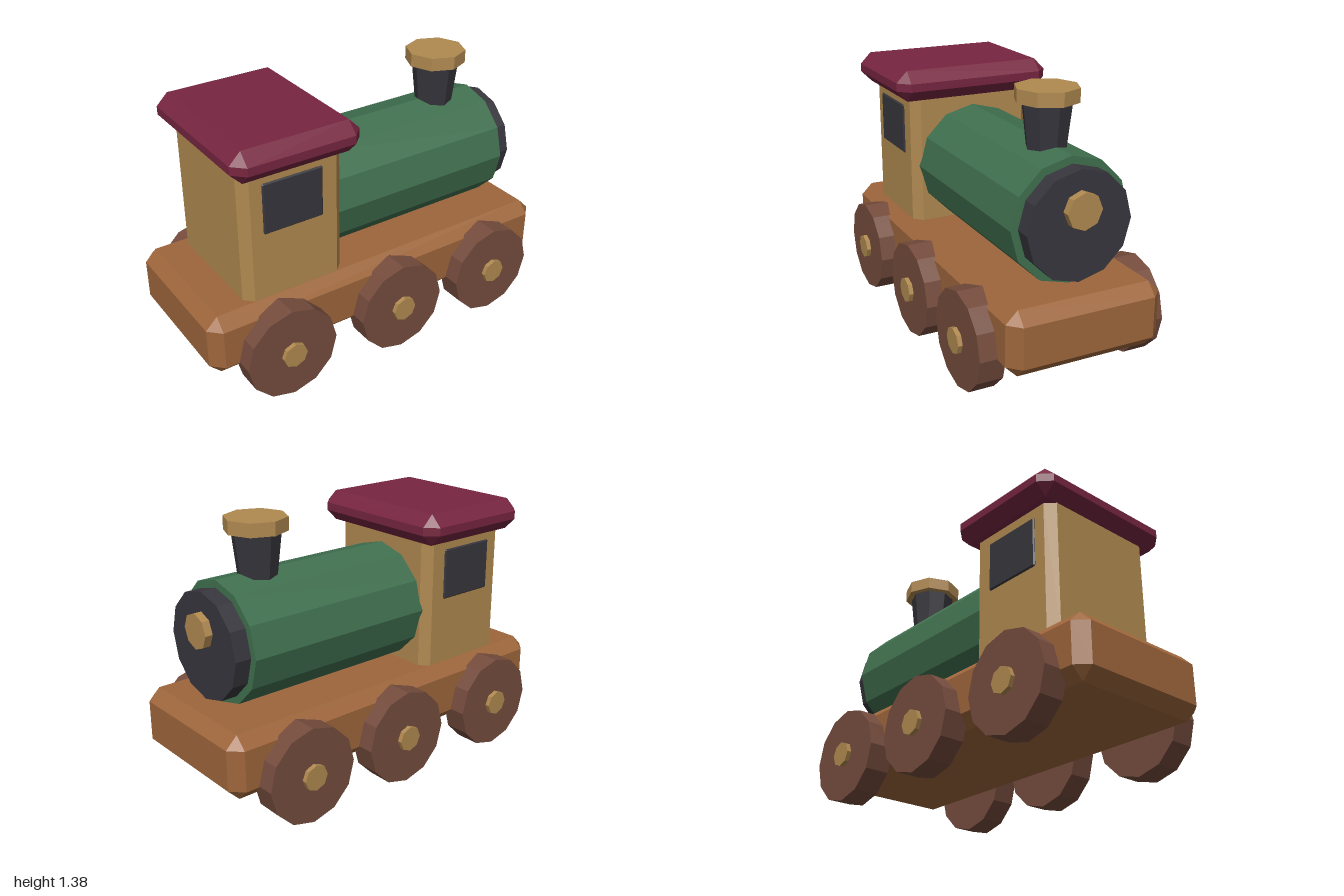
import * as THREE from 'three';
import { ConvexGeometry } from 'three/addons/geometries/ConvexGeometry.js';

const material = (name, color) => {
  const m = new THREE.MeshStandardMaterial({ color });
  m.name = name;
  m.flatShading = true;
  return m;
};

// Box with every edge cut by a flat chamfer, given by its centre and size
function chamferBox(name, mat, [w, h, d], c, [x, y, z]) {
  const points = [];
  for (const sx of [-1, 1]) for (const sy of [-1, 1]) for (const sz of [-1, 1]) {
    for (let axis = 0; axis < 3; axis++) {
      const half = [w / 2 - c, h / 2 - c, d / 2 - c];
      half[axis] += c;
      points.push(new THREE.Vector3(sx * half[0], sy * half[1], sz * half[2]));
    }
  }
  const mesh = new THREE.Mesh(new ConvexGeometry(points), mat);
  mesh.name = name;
  mesh.position.set(x, y, z);
  return mesh;
}

// Low-poly cylinder running between two positions along the chosen axis
function drum(name, mat, axis, rFrom, rTo, from, to, sides, [x, y, z]) {
  const mesh = new THREE.Mesh(new THREE.CylinderGeometry(rTo, rFrom, to - from, sides), mat);
  mesh.name = name;
  mesh.position.set(x, y, z);
  mesh.position[axis] = (from + to) / 2;
  if (axis === 'x') mesh.rotation.z = -Math.PI / 2;
  if (axis === 'z') mesh.rotation.x = Math.PI / 2;
  return mesh;
}

export function createModel() {
  const train = new THREE.Group();
  train.name = 'toyTrain';
  const wood = material('orangeWood', 0x9e663b);
  const wheelWood = material('darkWood', 0x754c3d);
  const paleWood = material('paleWood', 0xb08950);
  const green = material('greenPaint', 0x40704f);
  const charcoal = material('charcoalPaint', 0x37363d);
  const red = material('burgundyPaint', 0x772540);

  // Chassis, cabin and roof
  train.add(
    chamferBox('chassis', wood, [2, 0.325, 0.8], 0.06, [0, 0.3425, 0]),
    chamferBox('cabin', paleWood, [0.55, 0.76, 0.676], 0.045, [-0.506, 0.835, 0]),
    chamferBox('roof', red, [0.672, 0.16, 0.85], 0.059, [-0.503, 1.247, 0])
  );

  // Boiler, smokebox and front lamp
  train.add(
    drum('boiler', green, 'x', 0.305, 0.305, -0.26, 0.797, 12, [0, 0.81, 0]),
    drum('smokebox', charcoal, 'x', 0.267, 0.267, 0.76, 0.88, 12, [0, 0.81, 0]),
    drum('lamp', paleWood, 'x', 0.089, 0.089, 0.86, 0.919, 8, [0, 0.892, 0])
  );

  // Chimney flaring up to its cap
  train.add(
    drum('chimney', charcoal, 'y', 0.091, 0.122, 1.04, 1.315, 8, [0.562, 0, 0]),
    drum('chimneyCap', paleWood, 'y', 0.155, 0.155, 1.31, 1.377, 8, [0.562, 0, 0])
  );

  // Side windows and wheels on both sides
  for (const s of [1, -1]) {
    const side = s > 0 ? 'Front' : 'Back';
    train.add(chamferBox('window' + side, charcoal, [0.318, 0.263, 0.018], 0.006, [-0.514, 0.987, s * 0.337]));
    for (const x of [-0.625, 0.025, 0.625]) {
      const wheel = new THREE.Group();
      wheel.name = 'wheel' + side;
      const span = (a, b) => (s > 0 ? [a, b] : [-b, -a]);
      wheel.add(
        drum('wheelDisc', wheelWood, 'z', 0.245, 0.245, ...span(0.357, 0.488), 12, [x, 0.245, 0]),
        drum('wheelHub', paleWood, 'z', 0.065, 0.065, ...span(0.46, 0.511), 8, [x, 0.245, 0])
      );
      train.add(wheel);
    }
  }
  return train;
}
